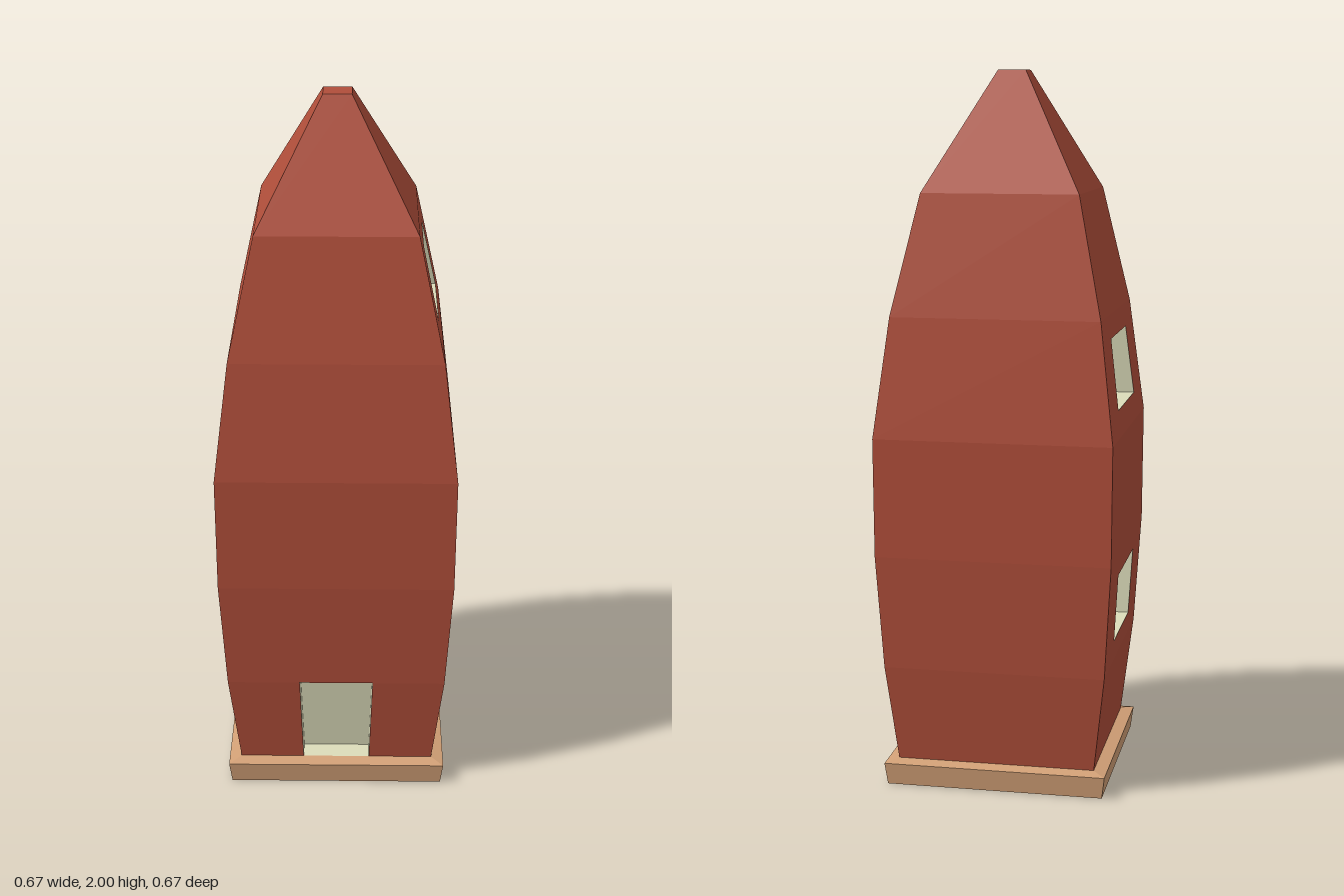
import * as THREE from 'three';

// Half-width of the square tower at each height: [y, halfWidth]
const PROFILE = [
  [0.07, 0.28], [0.345, 0.312], [0.667, 0.331], [1.0, 0.333],
  [1.333, 0.292], [1.667, 0.22], [2.0, 0.039],
];
const PLINTH = [[0, 0.307], [0.062, 0.315], [0.07, 0.28]];
const RECESS = 0.06;

// Openings: side 0 = front, 1 = left (+x), 3 = right (-x)
const OPENINGS = [
  { name: 'door', side: 0, y0: 0.07, y1: 0.345, w0: 0.096, w1: 0.105, drop: 0 },
  { name: 'lowerLeftWindow', side: 1, y0: 0.74, y1: 0.935, w0: 0.157, w1: 0.157, drop: 0.008 },
  { name: 'upperLeftWindow', side: 1, y0: 1.4, y1: 1.603, w0: 0.145, w1: 0.112, drop: 0.008 },
  { name: 'lowerRightWindow', side: 3, y0: 0.41, y1: 0.603, w0: 0.15, w1: 0.156, drop: 0.008 },
  { name: 'upperRightWindow', side: 3, y0: 1.073, y1: 1.27, w0: 0.164, w1: 0.148, drop: 0.008 },
];

// Tower half-width at height y
function halfWidth(y) {
  for (let i = 0; i < PROFILE.length - 1; i++) {
    const [ya, ra] = PROFILE[i], [yb, rb] = PROFILE[i + 1];
    if (y <= yb) return ra + ((rb - ra) * (y - ya)) / (yb - ya);
  }
  return PROFILE[PROFILE.length - 1][1];
}

// Point on the front wall
const onWall = (x, y) => new THREE.Vector3(x, y, halfWidth(y));

// Collects flat four-cornered faces, each turned to one side of the tower
class Faces {
  constructor() { this.points = []; }
  quad(side, a, b, c, d) {
    const up = new THREE.Vector3(0, 1, 0);
    for (const tri of [[a, b, c], [a, c, d]]) {
      const area = new THREE.Triangle(...tri).getArea();
      if (area < 1e-7) continue;
      for (const p of tri) this.points.push(p.clone().applyAxisAngle(up, (side * Math.PI) / 2));
    }
  }
  mesh(name, material) {
    const geometry = new THREE.BufferGeometry().setFromPoints(this.points);
    geometry.computeVertexNormals();
    const mesh = new THREE.Mesh(geometry, material);
    mesh.name = name;
    return mesh;
  }
}

// Corners of an opening: bottom left, bottom right, top right, top left
const corners = (o) => [
  onWall(-o.w0, o.y0), onWall(o.w0, o.y0), onWall(o.w1, o.y1), onWall(-o.w1, o.y1),
];

// One band of wall, framed around its opening if it has one
function wallBand(faces, side, [y0, r0], [y1, r1]) {
  const outer = [
    new THREE.Vector3(-r0, y0, r0), new THREE.Vector3(r0, y0, r0),
    new THREE.Vector3(r1, y1, r1), new THREE.Vector3(-r1, y1, r1),
  ];
  const opening = OPENINGS.find((o) => o.side === side && o.y0 >= y0 && o.y1 <= y1);
  if (!opening) return faces.quad(side, ...outer);
  const inner = corners(opening);
  for (let i = 0; i < 4; i++) {
    const j = (i + 1) % 4;
    faces.quad(side, outer[i], outer[j], inner[j], inner[i]);
  }
}

// Recessed box behind an opening: four reveals and a back panel
function recess(opening, material) {
  const faces = new Faces();
  const front = corners(opening);
  const back = front.map((p, i) =>
    new THREE.Vector3(p.x, p.y - (i > 1 ? opening.drop : 0), p.z - RECESS));
  for (let i = 0; i < 4; i++) {
    const j = (i + 1) % 4;
    faces.quad(opening.side, front[i], front[j], back[j], back[i]);
  }
  faces.quad(opening.side, ...back);
  return faces.mesh(opening.name, material);
}

export function createModel() {
  const side = THREE.DoubleSide;
  const red = new THREE.MeshStandardMaterial({ color: 0xb04e3a, side });
  red.name = 'brickRed';
  const cream = new THREE.MeshStandardMaterial({ color: 0xdcdcba, side });
  cream.name = 'paleCream';
  const tan = new THREE.MeshStandardMaterial({ color: 0xd2a076, side });
  tan.name = 'tan';

  const group = new THREE.Group();
  group.name = 'tower';

  // Walls and flat cap
  const walls = new Faces();
  for (let s = 0; s < 4; s++) {
    for (let i = 0; i < PROFILE.length - 1; i++) wallBand(walls, s, PROFILE[i], PROFILE[i + 1]);
  }
  const [topY, t] = PROFILE[PROFILE.length - 1];
  walls.quad(0,
    new THREE.Vector3(-t, topY, t), new THREE.Vector3(t, topY, t),
    new THREE.Vector3(t, topY, -t), new THREE.Vector3(-t, topY, -t));
  group.add(walls.mesh('walls', red));

  // Open, slightly flared plinth with a ledge
  const plinth = new Faces();
  for (let s = 0; s < 4; s++) {
    for (let i = 0; i < PLINTH.length - 1; i++) wallBand(plinth, s, PLINTH[i], PLINTH[i + 1]);
  }
  group.add(plinth.mesh('plinth', tan));

  // Door and windows
  for (const opening of OPENINGS) group.add(recess(opening, cream));

  return group;
}
